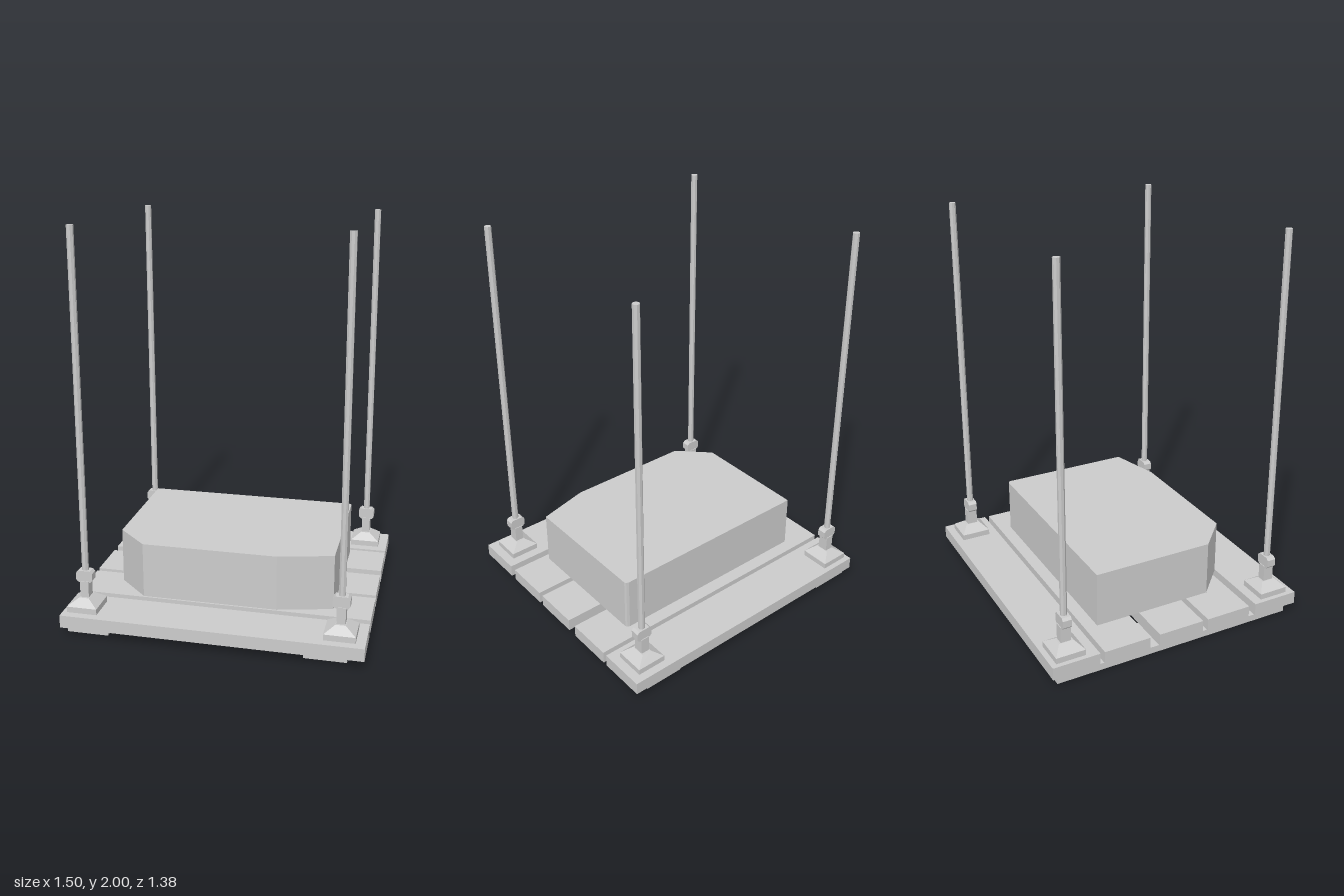
import * as THREE from 'three';

const mat = new THREE.MeshStandardMaterial({ color: 0xcccccc, flatShading: true });

function add(parent, name, geometry, x = 0, y = 0, z = 0) {
  const mesh = new THREE.Mesh(geometry, mat);
  mesh.name = name;
  mesh.position.set(x, y, z);
  parent.add(mesh);
  return mesh;
}

// Box given by its limits on each axis
function slab(parent, name, [x0, x1], [y0, y1], [z0, z1]) {
  return add(parent, name, new THREE.BoxGeometry(x1 - x0, y1 - y0, z1 - z0),
    (x0 + x1) / 2, (y0 + y1) / 2, (z0 + z1) / 2);
}

function outline(points) {
  return new THREE.Shape(points.map(([x, y]) => new THREE.Vector2(x, y)));
}

// Four-sided tapering block
function taperedBlock(w0, d0, w1, d1, h) {
  const g = new THREE.BoxGeometry(1, h, 1);
  const p = g.attributes.position;
  for (let i = 0; i < p.count; i++) {
    const top = p.getY(i) > 0;
    p.setX(i, p.getX(i) * (top ? w1 : w0));
    p.setZ(i, p.getZ(i) * (top ? d1 : d0));
  }
  g.computeVertexNormals();
  return g;
}

function createPost(x, z) {
  const post = new THREE.Group();
  post.name = 'cornerPost';
  post.position.set(x, 0, z);
  slab(post, 'footPlate', [-0.077, 0.077], [0.11, 0.14], [-0.077, 0.077]);
  add(post, 'taperedFoot', taperedBlock(0.154, 0.154, 0.05, 0.075, 0.036), 0, 0.158, 0);
  slab(post, 'socket', [-0.022, 0.022], [0.17, 0.26], [-0.036, 0.036].map(v => v * 0.75));

  // Collar with chamfered corners
  const w = 0.042, h = 0.03, c = 0.012;
  const collar = new THREE.ExtrudeGeometry(outline([
    [-w + c, -h], [w - c, -h], [w, -h + c], [w, h - c],
    [w - c, h], [-w + c, h], [-w, h - c], [-w, -h + c],
  ]), { depth: 0.046, bevelEnabled: false });
  collar.translate(0, 0, -0.023);
  add(post, 'collar', collar, 0, 0.284, 0);

  const pole = new THREE.CylinderGeometry(0.017, 0.017, 1.75, 8);
  pole.rotateY(Math.PI / 8);
  add(post, 'pole', pole, 0, 1.125, 0);
  return post;
}

export function createModel() {
  const model = new THREE.Group();
  model.name = 'palletWithPosts';

  // Runners under the deck
  for (const span of [[-0.73, -0.52], [0.455, 0.665]])
    slab(model, 'runner', span, [0, 0.035], [-0.66, 0.635]);

  // Five deck boards with uneven gaps
  for (const z of [-0.69, -0.42, -0.12, 0.155, 0.44])
    slab(model, 'deckBoard', [-0.75, 0.75], [0.045, 0.11], [z, z + 0.246]);

  // Load block with cut corners; shape y becomes -z
  const load = new THREE.ExtrudeGeometry(outline([
    [-0.56, 0.365], [0.542, 0.365], [0.555, 0.36], [0.56, 0.35],
    [0.56, -0.35], [0.285, -0.42], [-0.40, -0.42], [-0.56, -0.265],
  ]), { depth: 0.285, bevelEnabled: false });
  load.rotateX(-Math.PI / 2);
  add(model, 'loadBlock', load, 0, 0.125, 0);

  // Corner posts
  for (const [x, z] of [[-0.65, -0.585], [0.626, -0.572], [-0.65, 0.567], [0.626, 0.567]])
    model.add(createPost(x, z));

  return model;
}
